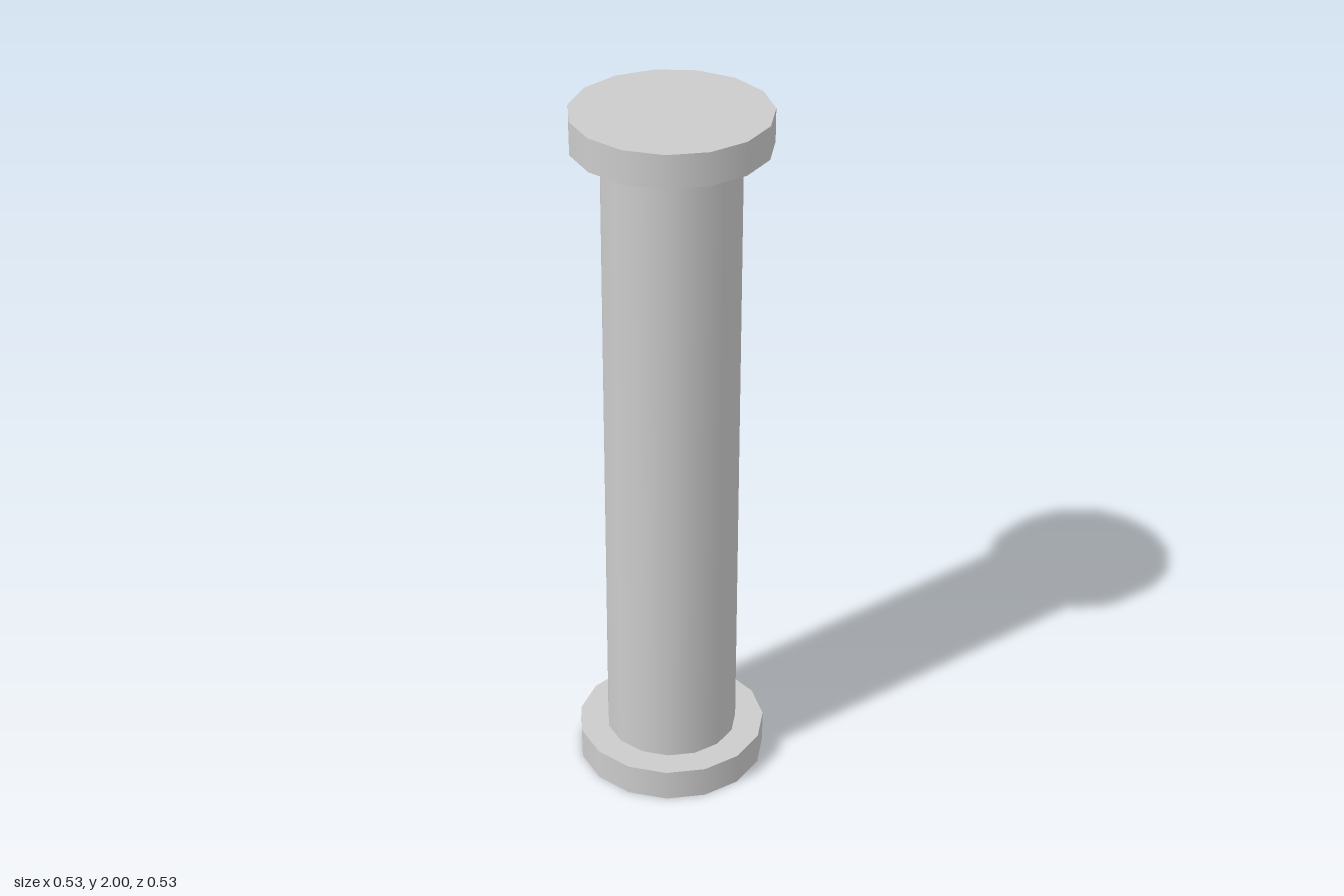
import * as THREE from 'three';

const SIDES = 15;
const FLANGE_RADIUS = 0.266;
const SHAFT_RADIUS = 0.186;
const FLANGE_HEIGHT = 0.092;
const HEIGHT = 2;

export function createModel() {
  const group = new THREE.Group();
  group.name = 'column';
  const material = new THREE.MeshStandardMaterial({ color: 0xcccccc });

  // Smooth-sided drum with one corner pointing along +x
  function drum(name, radius, bottom, top, open = false) {
    const geometry = new THREE.CylinderGeometry(
      radius, radius, top - bottom, SIDES, 1, open, Math.PI / 2);
    const mesh = new THREE.Mesh(geometry, material);
    mesh.name = name;
    // An odd-sided polygon sits slightly off its own centre
    mesh.position.set(-0.003, (bottom + top) / 2, 0);
    group.add(mesh);
  }

  drum('baseDisc', FLANGE_RADIUS, 0, FLANGE_HEIGHT);
  drum('shaft', SHAFT_RADIUS, FLANGE_HEIGHT, HEIGHT - FLANGE_HEIGHT, true);
  drum('topDisc', FLANGE_RADIUS, HEIGHT - FLANGE_HEIGHT, HEIGHT);

  return group;
}
